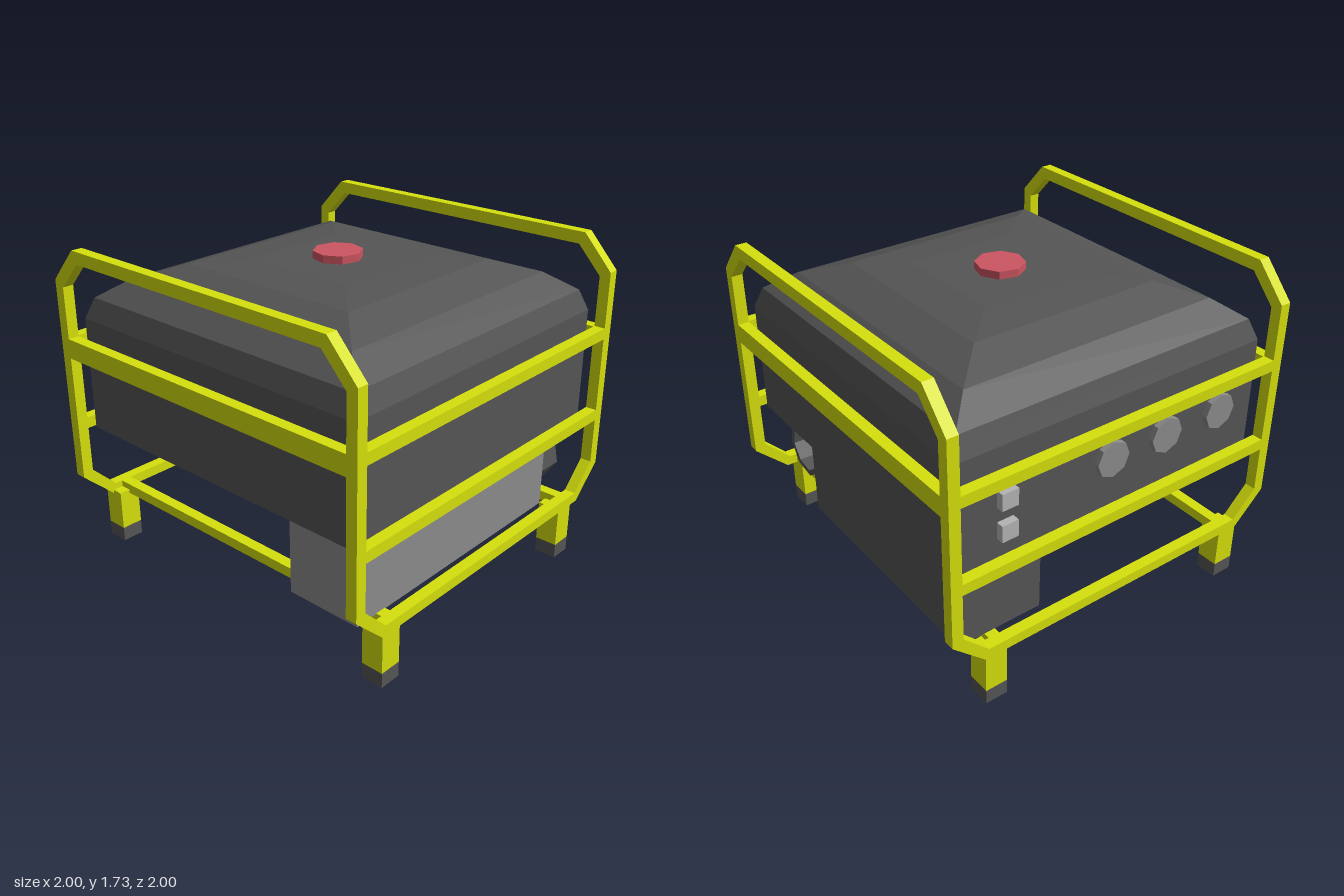
import * as THREE from 'three';

const mat = (color) => new THREE.MeshStandardMaterial({ color, flatShading: true });

export function createModel() {
  const model = new THREE.Group();
  model.name = 'portableGenerator';
  const yellow = mat(0xd6e00c), dark = mat(0x555555), grey = mat(0x8c8c8c);
  const light = mat(0xb4b4b4), red = mat(0xcc5560);
  dark.side = THREE.DoubleSide;

  const add = (name, geometry, material, x = 0, y = 0, z = 0) => {
    const mesh = new THREE.Mesh(geometry, material);
    mesh.name = name;
    mesh.position.set(x, y, z);
    model.add(mesh);
    return mesh;
  };
  // Box given by its minimum and maximum on each axis
  const box = (name, material, [x0, x1], [y0, y1], [z0, z1]) =>
    add(name, new THREE.BoxGeometry(x1 - x0, y1 - y0, z1 - z0), material,
      (x0 + x1) / 2, (y0 + y1) / 2, (z0 + z1) / 2);
  // Symmetric flat bracket: half outlines mirrored, then extruded to the bar depth
  const bracket = (outer, inner) => {
    const mirror = (pts) => pts.slice().reverse().map(([x, y]) => [-x, y]);
    const pts = [...outer, ...mirror(outer), ...mirror(inner).reverse(), ...inner.slice().reverse()];
    const shape = new THREE.Shape(pts.map(([x, y]) => new THREE.Vector2(x, y)));
    return new THREE.ExtrudeGeometry(shape, { depth: 0.06, bevelEnabled: false });
  };

  // Body with a lower block on the left side
  box('body', dark, [-0.91, 0.91], [0.73, 1.25], [-0.91, 0.91]);
  box('lowerBlock', dark, [0.44, 0.91], [0.34, 0.73], [-0.91, 0.4]);

  // Domed square tank
  const dome = [[0.91, 1.25], [0.91, 1.34], [0.87, 1.45], [0.73, 1.55], [0.53, 1.62], [0.31, 1.64], [0, 1.64]]
    .map(([r, y]) => new THREE.Vector2(r * Math.SQRT2, y));
  add('tank', new THREE.LatheGeometry(dome, 4, Math.PI / 4), dark);
  const cap = new THREE.CylinderGeometry(0.128, 0.128, 0.05, 8);
  cap.rotateY(0.12);
  add('fuelCap', cap, red, 0, 1.655, -0.01);

  // Muffler and hollow exhaust, opening towards +x
  box('muffler', grey, [-0.89, 0.59], [0.33, 0.73], [0.5, 0.91]);
  box('mufflerKnob', dark, [0.59, 0.635], [0.65, 0.705], [0.82, 0.88]);
  const pipe = [[0.12, 0], [0.162, 0.07], [0.162, 0.22], [0.13, 0.22], [0.13, 0.07], [0.1, 0.01]]
    .map(([r, y]) => new THREE.Vector2(r, y));
  const pipeGeometry = new THREE.LatheGeometry(pipe, 8, 0.2);
  pipeGeometry.rotateZ(-Math.PI / 2);
  add('exhaust', pipeGeometry, dark, 0.59, 0.51, 0.71);

  // Control panel on the back
  for (const x of [-0.66, -0.3, 0.04]) {
    const socket = new THREE.CylinderGeometry(0.096, 0.096, 0.03, 8);
    socket.rotateX(Math.PI / 2);
    add('socket', socket, grey, x, 1.03, -0.925);
  }
  for (const y of [0.905, 1.075])
    box('switch', light, [0.6, 0.69], [y - 0.045, y + 0.045], [-0.95, -0.91]);

  // Front and back frames: posts bending into the bottom bar, with two cross bars
  const endFrame = bracket([[-1, 1.55], [-1, 0.45], [-0.82, 0.28]], [[-0.94, 1.55], [-0.94, 0.475], [-0.8, 0.335]]);
  for (const z of [0.94, -1]) {
    add('endFrame', endFrame, yellow, 0, 0, z);
    for (const y of [0.755, 1.22])
      box('crossBar', yellow, [-0.94, 0.94], [y - 0.03, y + 0.03], [z, z + 0.06]);
  }

  // Side handles, side rails and base rails
  const handle = bracket([[-1, 1.55], [-0.835, 1.73]], [[-0.94, 1.52], [-0.805, 1.665]]);
  handle.rotateY(-Math.PI / 2);
  for (const side of [1, -1]) {
    add('handle', handle, yellow, side > 0 ? 1 : -0.94);
    box('sideRail', yellow, [side * 0.97 - 0.03, side * 0.97 + 0.03], [1.14, 1.245], [-0.94, 0.94]);
    box('baseRail', yellow, [side * 0.73 - 0.03, side * 0.73 + 0.03], [0.28, 0.335], [-0.94, 0.94]);
  }

  // Legs with dark feet
  for (const [x, z] of [[-0.76, 0.94], [-0.76, -0.94], [0.7, 0.94], [0.76, -0.94]]) {
    const xs = [x - 0.06, x + 0.06], zs = [z - 0.06, z + 0.06];
    box('leg', yellow, xs, [0.08, 0.3], zs);
    box('foot', dark, xs, [0, 0.08], zs);
  }
  return model;
}
